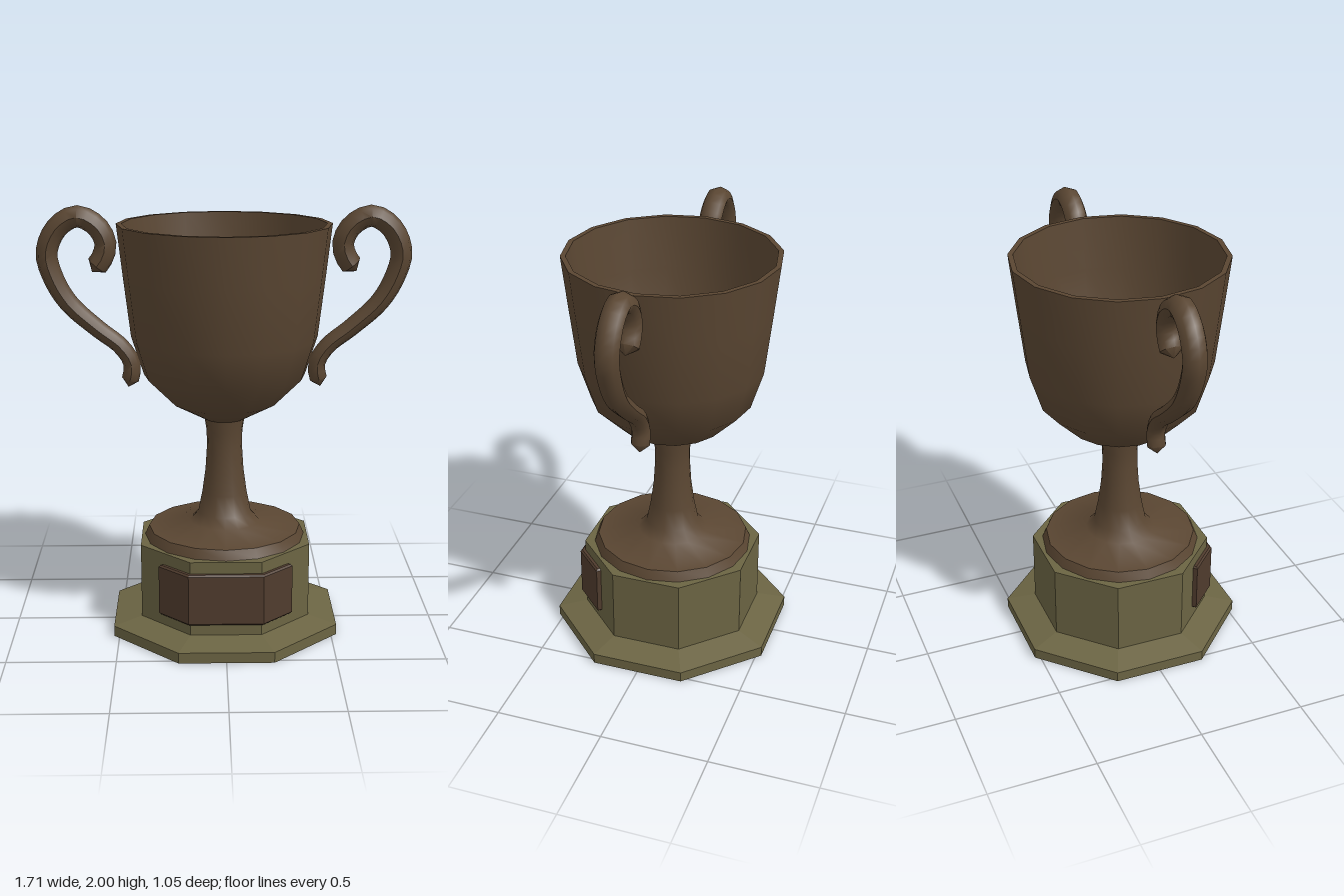
import * as THREE from 'three';
import { toCreasedNormals } from 'three/addons/utils/BufferGeometryUtils.js';

const bronze = new THREE.MeshStandardMaterial({ color: 0x5a4632 });
const plaqueBronze = new THREE.MeshStandardMaterial({ color: 0x4f3b2d });
const olive = new THREE.MeshStandardMaterial({ color: 0x6b6443, flatShading: true });

function lathe(points, sides, start = 0) {
  const profile = points.map(([r, y]) => new THREE.Vector2(r, y));
  return new THREE.LatheGeometry(profile, sides, start);
}

function addMesh(parent, name, geometry, material) {
  const mesh = new THREE.Mesh(geometry, material);
  mesh.name = name;
  parent.add(mesh);
  return mesh;
}

// Scrolled tube: thicker in the upper loop, slimmer at the tail, closed at both tips
function handleGeometry() {
  const path = new THREE.CatmullRomCurve3([
    [0.604, 1.7], [0.556, 1.765], [0.54, 1.83], [0.578, 1.908], [0.668, 1.953],
    [0.758, 1.902], [0.808, 1.791], [0.784, 1.68], [0.715, 1.558], [0.583, 1.436],
    [0.477, 1.351], [0.429, 1.267], [0.447, 1.16],
  ].map(([x, y]) => new THREE.Vector3(x, y, 0)));
  const steps = 36, sides = 8;
  const geometry = new THREE.TubeGeometry(path, steps, 1, sides);
  const pos = geometry.attributes.position;
  const v = new THREE.Vector3();
  for (let i = 0; i <= steps; i++) {
    const t = i / steps;
    const centre = path.getPointAt(t);
    const tip = i === 0 || i === steps;
    const radius = tip ? 0 : 0.05 - 0.01 * THREE.MathUtils.smoothstep(t, 0.35, 0.9);
    for (let j = 0; j <= sides; j++) {
      const k = i * (sides + 1) + j;
      v.fromBufferAttribute(pos, k).sub(centre).multiplyScalar(radius);
      v.z *= 1.1;
      v.add(centre);
      pos.setXYZ(k, v.x, v.y, v.z);
    }
  }
  return toCreasedNormals(geometry, 0.85);
}

export function createModel() {
  const model = new THREE.Group();
  model.name = 'trophy';

  // Octagonal plinth with flats facing the axes
  const k = 1 / Math.cos(Math.PI / 8);
  const plinth = [
    [0, 0], [0.525, 0], [0.525, 0.05], [0.395, 0.08], [0.395, 0.435], [0, 0.435],
  ].map(([r, y]) => [r * k, y]);
  addMesh(model, 'plinth', lathe(plinth, 8, Math.PI / 8), olive);

  // Plaque folded around the front three sides of the plinth
  const outline = [
    [-0.31, 0.28], [-0.172, 0.418], [0.172, 0.418], [0.31, 0.28],
    [0.29, 0.26], [0.155, 0.38], [-0.155, 0.38], [-0.29, 0.26],
  ].map(([x, z]) => new THREE.Vector2(x, -z));
  const plaque = new THREE.ExtrudeGeometry(new THREE.Shape(outline), {
    depth: 0.229, bevelThickness: 0.008, bevelSize: 0.008, bevelOffset: -0.008, bevelSegments: 1,
  });
  plaque.rotateX(-Math.PI / 2).translate(0, 0.143, 0);
  addMesh(model, 'plaque', plaque, plaqueBronze);

  // Foot and stem
  const stem = lathe([
    [0, 0.435], [0.38, 0.435], [0.36, 0.48], [0.165, 0.505], [0.125, 0.55], [0.105, 0.65],
    [0.09, 0.76], [0.083, 0.87], [0.084, 0.95], [0.095, 1.02],
  ], 16);
  addMesh(model, 'footAndStem', toCreasedNormals(stem, 0.82), bronze);

  // Hollow bowl: outer wall, rim, inner wall
  const bowl = lathe([
    [0, 1.01], [0.095, 1.01], [0.245, 1.09], [0.375, 1.22], [0.432, 1.4], [0.465, 1.68], [0.492, 1.92],
    [0.468, 1.92], [0.442, 1.68], [0.408, 1.41], [0.352, 1.24], [0.23, 1.115], [0.09, 1.04], [0, 1.035],
  ], 16);
  addMesh(model, 'bowl', toCreasedNormals(bowl, 0.82), bronze);

  // Mirrored handles
  const handle = handleGeometry();
  addMesh(model, 'leftHandle', handle, bronze);
  addMesh(model, 'rightHandle', handle, bronze).rotation.y = Math.PI;

  return model;
}
